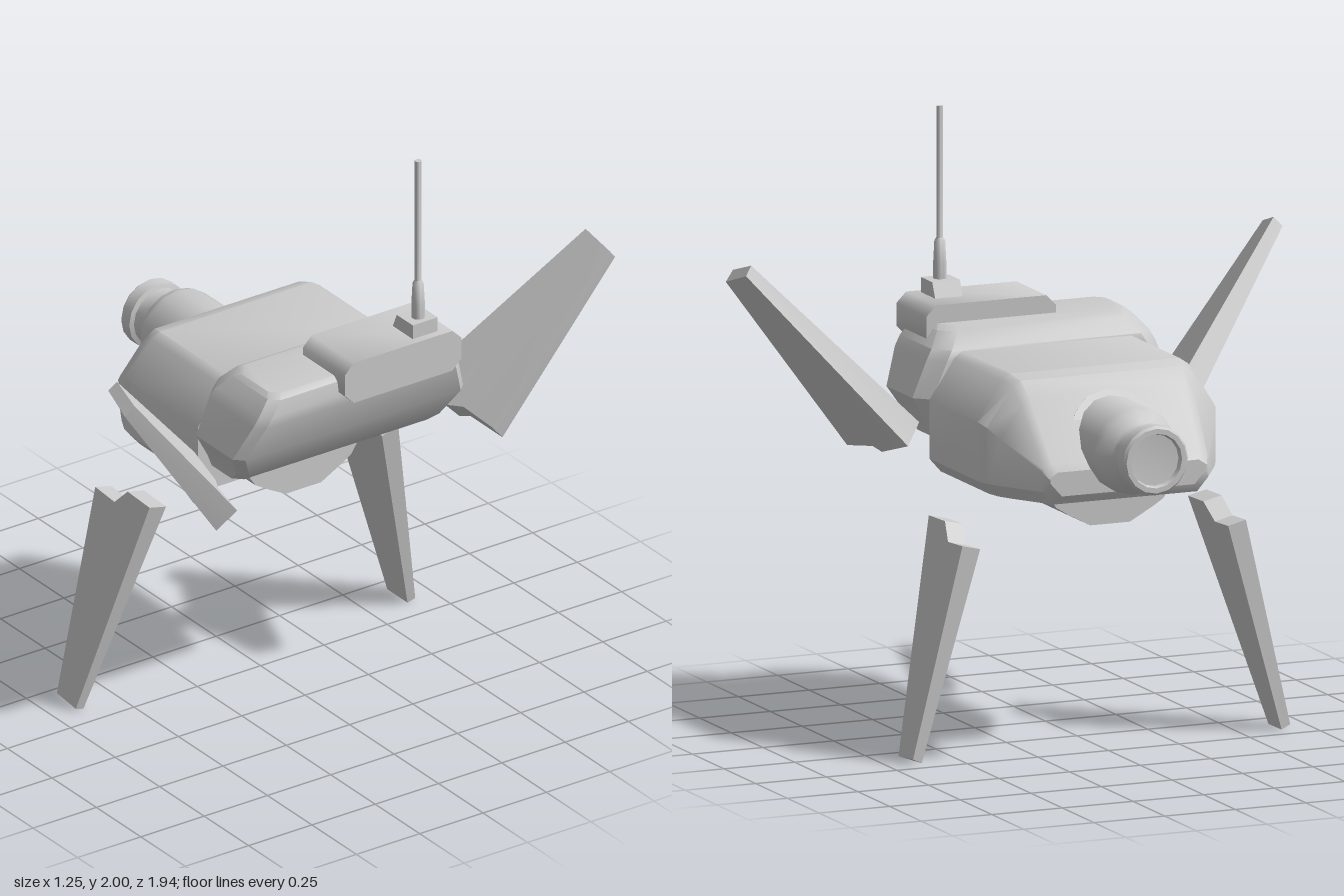
import * as THREE from 'three';
import { toCreasedNormals } from 'three/addons/utils/BufferGeometryUtils.js';

const material = new THREE.MeshStandardMaterial({ color: 0xcccccc });

// Finished mesh from a closed geometry: faces turned outward, edges kept sharp
function solid(name, geometry, crease = 0.6) {
  const g = geometry.index ? geometry.toNonIndexed() : geometry;
  g.deleteAttribute('uv');
  const p = g.attributes.position;
  const v = [0, 1, 2].map(() => new THREE.Vector3());
  let volume = 0;
  for (let i = 0; i < p.count; i += 3) {
    v.forEach((c, k) => c.fromBufferAttribute(p, i + k));
    volume += v[0].dot(v[1].clone().cross(v[2]));
  }
  if (volume < 0) {
    for (let i = 0; i < p.count; i += 3) {
      v.forEach((c, k) => c.fromBufferAttribute(p, i + k));
      p.setXYZ(i + 1, v[2].x, v[2].y, v[2].z);
      p.setXYZ(i + 2, v[1].x, v[1].y, v[1].z);
    }
  }
  const mesh = new THREE.Mesh(toCreasedNormals(g, crease), material);
  mesh.name = name;
  return mesh;
}

// Skin over matching rings of [x, y, z]; the ends are fanned from each ring's first point
function loft(rings) {
  const out = [];
  const tri = (...c) => c.forEach((q) => out.push(...q));
  const n = rings[0].length;
  for (let r = 0; r + 1 < rings.length; r++) {
    const a = rings[r], b = rings[r + 1];
    for (let i = 0; i < n; i++) {
      const j = (i + 1) % n;
      tri(a[i], a[j], b[j]);
      tri(a[i], b[j], b[i]);
    }
  }
  const first = rings[0], last = rings[rings.length - 1];
  for (let i = 1; i + 1 < n; i++) {
    tri(first[0], first[i + 1], first[i]);
    tri(last[0], last[i], last[i + 1]);
  }
  const g = new THREE.BufferGeometry();
  g.setAttribute('position', new THREE.Float32BufferAttribute(out, 3));
  return g;
}

// Profile of [z, y] points swept from x0 to x1
const sweepX = (profile, x0, x1) => loft([x0, x1].map((x) => profile.map(([z, y]) => [x, y, z])));

const mirrorProfile = (half) => [...half, ...half.map(([z, y]) => [-z, y]).reverse()];

export function createModel() {
  const model = new THREE.Group();

  // Main hull: x, bottom, shoulder, top, half width, top half width
  const hull = [
    [-0.405, 0.89, 0.95, 0.97, 0.275, 0.25],
    [-0.38, 0.86, 0.97, 1.0, 0.295, 0.26],
    [-0.24, 0.86, 1.06, 1.185, 0.38, 0.275],
    [-0.19, 0.86, 1.09, 1.235, 0.405, 0.285],
    [-0.14, 0.86, 1.1, 1.25, 0.415, 0.3],
    [0.24, 0.86, 1.1, 1.25, 0.415, 0.3],
  ].map(([x, bottom, shoulder, top, w, tw]) =>
    mirrorProfile([
      [w - 0.04, bottom], [w, bottom + 0.045], [w, shoulder], [tw + 0.03, top - 0.02], [tw, top],
    ]).map(([z, y]) => [x, y, z]));
  model.add(solid('mainHull', loft(hull)));

  // Belly keel
  const belly = mirrorProfile([[0.215, 0.87], [0.21, 0.85], [0.19, 0.82], [0.15, 0.795], [0.07, 0.752]]);
  model.add(solid('belly', sweepX(belly, -0.26, 0.24)));

  // Rear hull as level slices: y, front x, back x, half width
  const rear = [
    [0.97, 0.23, 0.42, 0.39],
    [1.01, 0.23, 0.47, 0.405],
    [1.1, 0.235, 0.52, 0.455],
    [1.22, 0.235, 0.565, 0.405],
    [1.255, 0.24, 0.57, 0.385],
    [1.305, 0.285, 0.56, 0.345],
    [1.32, 0.315, 0.54, 0.33],
  ].map(([y, x0, x1, w]) => {
    const c = 0.05;
    return [
      [x0, y, w - c], [x0 + c, y, w], [x1 - c * 0.6, y, w], [x1, y, w - c * 0.6],
      [x1, y, -w + c * 0.6], [x1 - c * 0.6, y, -w], [x0 + c, y, -w], [x0, y, -w + c],
    ];
  });
  model.add(solid('rearHull', loft(rear)));

  // Offset equipment box with bevelled ends
  const box = [
    [0.055, 1.235], [0.09, 1.27], [0.09, 1.345], [0.055, 1.38],
    [-0.335, 1.38], [-0.37, 1.345], [-0.37, 1.27], [-0.335, 1.235],
  ];
  model.add(solid('equipmentBox', sweepX(box, 0.365, 0.602), 0.9));

  // Antenna: wedge foot, socket and rod
  const antenna = new THREE.Group();
  antenna.name = 'antenna';
  const footRing = (y, x0) => [[x0, y, -0.197], [0.575, y, -0.197], [0.575, y, -0.295], [x0, y, -0.295]];
  antenna.add(solid('antennaFoot', loft([footRing(1.37, 0.458), footRing(1.43, 0.485)])));
  const stem = [[0, 1.42], [0.022, 1.42], [0.022, 1.48], [0.018, 1.555], [0.011, 1.565], [0.011, 2], [0, 2]];
  const rod = solid('antennaRod', new THREE.LatheGeometry(stem.map((p) => new THREE.Vector2(...p)), 10), 0.8);
  rod.position.set(0.535, 0, -0.246);
  antenna.add(rod);
  model.add(antenna);

  // Nose barrel with a rimmed, recessed lens; profile is radius, distance forward
  const barrel = [
    [0, 0.24], [0.145, 0.24], [0.145, 0.455], [0.135, 0.485], [0.105, 0.515], [0.1, 0.525], [0.1, 0.57],
    [0.115, 0.575], [0.115, 0.62], [0.107, 0.63], [0.09, 0.63], [0.085, 0.612], [0, 0.605],
  ];
  const noseGeometry = new THREE.LatheGeometry(barrel.map((p) => new THREE.Vector2(...p)), 16).rotateZ(Math.PI / 2);
  const nose = solid('noseBarrel', noseGeometry);
  nose.position.y = 1.03;
  model.add(nose);

  // Sloping collar where the barrel enters the hull
  const collar = solid('noseCollar', new THREE.CylinderGeometry(0.158, 0.158, 0.03, 12));
  collar.position.set(-0.315, 1.055, 0);
  collar.rotation.z = Math.atan2(0.83, 0.55);
  model.add(collar);

  // Upper fins: outer and inner outlines, each from the leading tip
  const finOuter = [
    [0.495, 1.505, 0.95], [0.23, 0.955, 0.495], [0.37, 0.912, 0.525],
    [0.41, 0.925, 0.54], [0.555, 0.902, 0.565], [0.615, 1.465, 0.968],
  ];
  const finInner = [
    [0.51, 1.535, 0.925], [0.258, 1.025, 0.443], [0.395, 0.985, 0.455],
    [0.45, 0.992, 0.485], [0.585, 0.97, 0.503], [0.625, 1.5, 0.938],
  ];
  // Lower fins: outline in x, y; the two faces lean outward towards the tip
  const legOutline = [
    [-0.195, 0.018], [-0.085, 0.008], [0.075, 0.757], [-0.05, 0.762], [-0.105, 0.705], [-0.215, 0.712],
  ];
  const legOuter = legOutline.map(([x, y]) => [x, y, 0.49 + (0.762 - y) * 0.239]);
  const legInner = legOutline.map(([x, y]) => [x, Math.max(0, y - 0.015), 0.425 + (0.762 - y) * 0.285]);

  for (const [side, s] of [['left', 1], ['right', -1]]) {
    const flip = (ring) => ring.map(([x, y, z]) => [x, y, z * s]);
    model.add(solid(side === 'left' ? 'upperFinFront' : 'upperFinBack', loft([flip(finInner), flip(finOuter)])));
    model.add(solid(side === 'left' ? 'lowerFinFront' : 'lowerFinBack', loft([flip(legInner), flip(legOuter)])));
  }
  return model;
}
